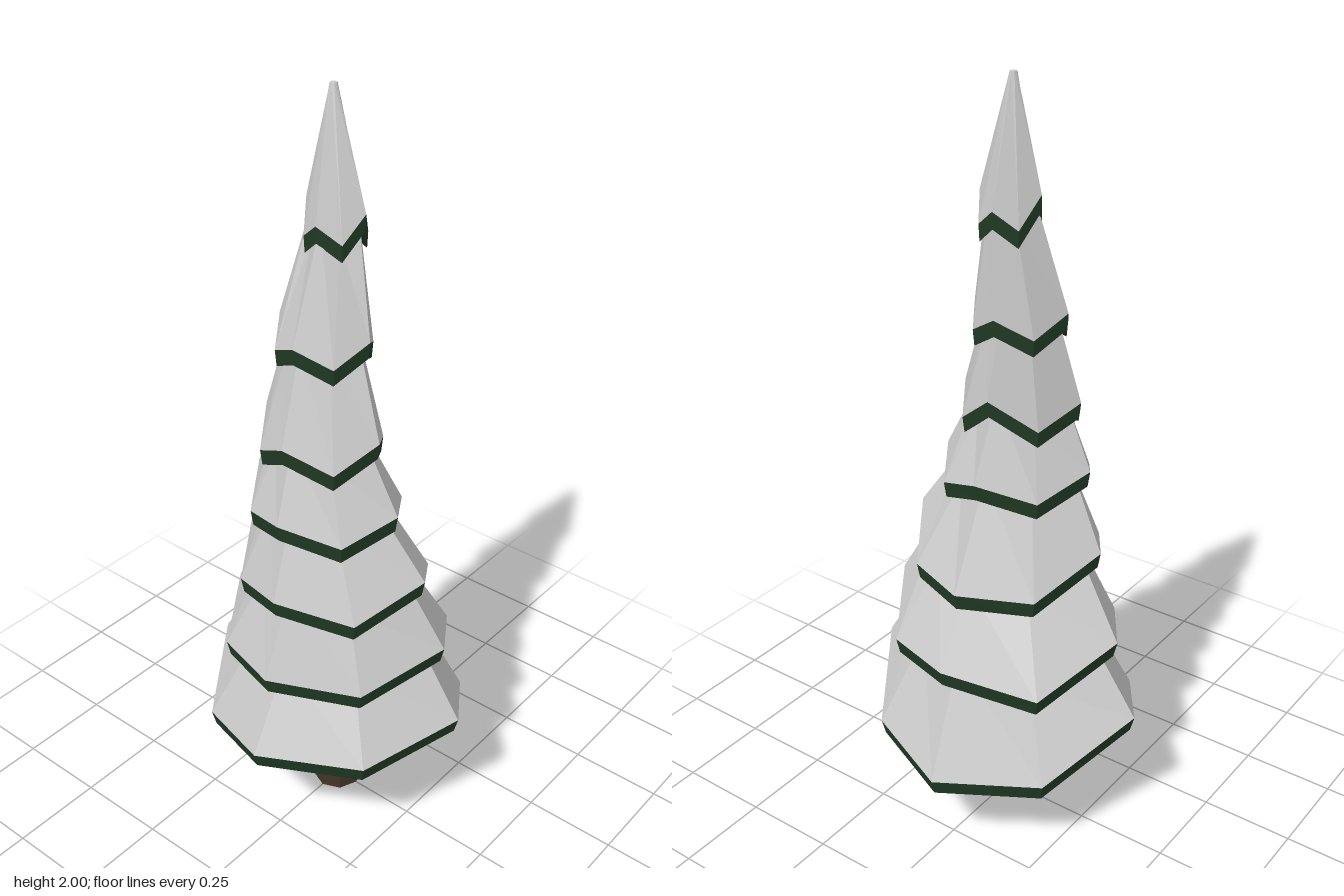
import * as THREE from 'three';

const SIDES = 8;
const TWIST = THREE.MathUtils.degToRad(-5.3);
const grey = new THREE.MeshStandardMaterial({ color: 0xcccccc, flatShading: true });
const green = new THREE.MeshStandardMaterial({ color: 0x213c25, flatShading: true });
const bark = new THREE.MeshStandardMaterial({ color: 0x403328, flatShading: true });

// Each tier: centre x, z, radius, and the rim height at each corner, going from +x to +z to -x to -z
const TIERS = [
  { x: 0, z: 0, r: 0.382, h: [0.27, 0.28, 0.39, 0.335, 0.36, 0.285, 0.37, 0.26] },
  { x: -0.005, z: 0.006, r: 0.327, h: [0.57, 0.53, 0.61, 0.545, 0.58, 0.53, 0.58, 0.485] },
  { x: -0.033, z: 0.02, r: 0.268, h: [0.745, 0.735, 0.82, 0.75, 0.81, 0.755, 0.81, 0.725] },
  { x: -0.056, z: 0.011, r: 0.209, h: [1.02, 0.96, 1.0, 0.955, 1.01, 0.965, 1.02, 0.97] },
  { x: -0.06, z: 0, r: 0.166, h: [1.23, 1.14, 1.19, 1.135, 1.2, 1.135, 1.2, 1.15] },
  { x: -0.028, z: -0.018, r: 0.129, h: [1.44, 1.385, 1.43, 1.38, 1.43, 1.385, 1.44, 1.39] },
  { x: 0.018, z: -0.02, r: 0.082, h: [1.7, 1.655, 1.72, 1.655, 1.7, 1.655, 1.73, 1.655] },
];
const TIP = { x: 0.028, y: 2, z: -0.035 };

// Ring of points; radius and height may vary with the corner index
function ring({ x, z }, radiusAt, heightAt) {
  return Array.from({ length: SIDES }, (_, i) => {
    const a = TWIST + (i / SIDES) * Math.PI * 2;
    return [x + Math.cos(a) * radiusAt(i), heightAt(i), z + Math.sin(a) * radiusAt(i)];
  });
}

// Rim of a tier, scaled and lowered; every second corner is drawn in
const rimOf = (t, scale, drop) =>
  ring(t, (i) => t.r * scale * (i % 2 ? 0.92 : 1), (i) => t.h[i] - drop);

// Skin of quads between successive rings
function loft(rings) {
  const pos = [];
  for (let j = 0; j < rings.length - 1; j++) {
    for (let i = 0; i < SIDES; i++) {
      const k = (i + 1) % SIDES;
      const [a, b, c, d] = [rings[j][i], rings[j + 1][i], rings[j + 1][k], rings[j][k]];
      pos.push(...a, ...b, ...c, ...a, ...c, ...d);
    }
  }
  const geo = new THREE.BufferGeometry();
  geo.setAttribute('position', new THREE.Float32BufferAttribute(pos, 3));
  geo.computeVertexNormals();
  return geo;
}

function addMesh(parent, name, geometry, material) {
  const mesh = new THREE.Mesh(geometry, material);
  mesh.name = name;
  parent.add(mesh);
}

function makeTier(t, next) {
  const tier = new THREE.Group();
  const rim = rimOf(t, 1, 0);

  // Snow skirt reaching up inside the next tier, or closing at the tip
  const top = next
    ? [rimOf(next, 0.75, 0)]
    : [0.009, 0].map((r) => ring(TIP, () => r, () => TIP.y));
  addMesh(tier, 'snow', loft([rim, ...top]), grey);

  // Green edge band and shallow underside
  const centreY = t.h.reduce((a, b) => a + b, 0) / SIDES;
  addMesh(tier, 'branches', loft([
    ring(t, () => 0, () => centreY),
    rimOf(t, 0.97, 0.042),
    rim,
  ]), green);
  return tier;
}

export function createModel() {
  const tree = new THREE.Group();
  tree.name = 'snowyFir';

  // Trunk flaring at the foot
  const profile = [[0, 0], [0.068, 0], [0.055, 0.12], [0.047, 0.22], [0.043, 0.4], [0, 0.4]];
  addMesh(tree, 'trunk',
    new THREE.LatheGeometry(profile.map(([r, y]) => new THREE.Vector2(r, y)), SIDES), bark);

  TIERS.forEach((t, i) => {
    const tier = makeTier(t, TIERS[i + 1]);
    tier.name = `tier${i + 1}`;
    tree.add(tier);
  });
  return tree;
}
